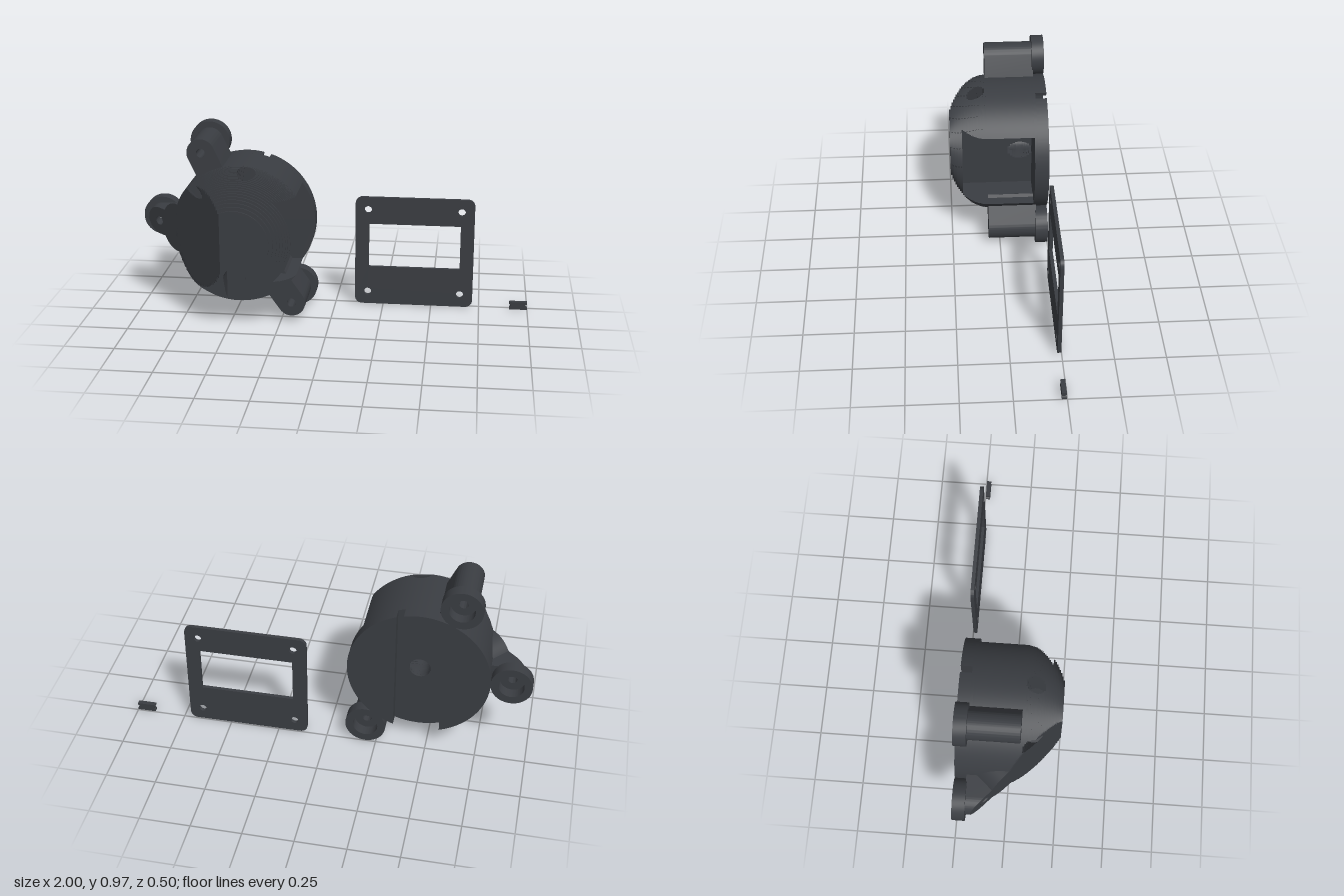
import * as THREE from 'three';
import { mergeGeometries, toCreasedNormals } from 'three/addons/utils/BufferGeometryUtils.js';

const CX = -0.45, CY = 0.464, R = 0.35, BACK = -0.247;
const material = new THREE.MeshStandardMaterial({ color: 0x3a3d42 });

// Slanted plane that trims the right-hand side of the housing
const planeX = (z) => -1 + (z + 0.19) / 0.915;
const planeZ = (x) => -0.19 + (x + 1) * 0.915;

function slab(shape, z0, z1, curveSegments = 32) {
  const g = new THREE.ExtrudeGeometry(shape, { depth: z1 - z0, bevelEnabled: false, curveSegments });
  return g.translate(0, 0, z0);
}

function addHole(shape, x, y, r) {
  shape.holes.push(new THREE.Path().absarc(x, y, r, 0, Math.PI * 2, true));
  return shape;
}

function mesh(name, geometry) {
  const m = new THREE.Mesh(toCreasedNormals(geometry, 0.5), material);
  m.name = name;
  return m;
}

// Circle outline with inward notches: { a: direction, w: half width, pts: inner points }
function notchedCircle(r, notches) {
  const pts = [];
  let angle = -2.8;
  const arcTo = (end) => {
    const n = Math.max(1, Math.ceil((end - angle) / 0.05));
    for (let i = 0; i < n; i++) {
      const t = angle + ((end - angle) * i) / n;
      pts.push(new THREE.Vector2(r * Math.cos(t), r * Math.sin(t)));
    }
    angle = end;
  };
  for (const { a, w, inner } of notches) {
    const half = Math.asin(w / r);
    arcTo(a - half);
    pts.push(new THREE.Vector2(r * Math.cos(angle), r * Math.sin(angle)));
    for (const [u, v] of inner) {
      pts.push(new THREE.Vector2(u * Math.cos(a) - v * Math.sin(a), u * Math.sin(a) + v * Math.cos(a)));
    }
    angle = a + half;
  }
  arcTo(-2.8 + Math.PI * 2);
  return new THREE.Shape(pts);
}

// Side recess, joined to the central bore by a neck of half width w
function recess(w) {
  const inner = [[0.09, -0.205]];
  if (w > 0) {
    const bore = 0.052, start = Math.asin(w / bore);
    inner.push([0.09, -w]);
    for (let i = 0; i <= 16; i++) {
      const t = -start - ((Math.PI * 2 - 2 * start) * i) / 16;
      inner.push([bore * Math.cos(t), bore * Math.sin(t)]);
    }
    inner.push([0.09, w]);
  }
  inner.push([0.09, 0.205]);
  return { a: 0, w: 0.205, inner };
}

// Outline of the housing at height z
function layerShape(z) {
  const k = Math.max(0, (z - 0.055) / 0.22);
  const r = R * Math.sqrt(1 - k * k);
  const notches = [];
  if (z > 0.145) {
    const arc = [];
    for (let i = 0; i <= 8; i++) {
      const t = -Math.PI / 2 - (Math.PI * i) / 8;
      arc.push([0.175 + 0.055 * Math.cos(t), 0.055 * Math.sin(t)]);
    }
    notches.push({ a: -Math.PI / 2, w: 0.055, inner: arc });
  }
  if (z < 0.19) {
    const q = 1 - ((z + 0.1125) / 0.0635) ** 2;
    notches.push(recess(q > 0 ? 0.051 * Math.sqrt(q) : 0));
  }
  const h = 0.045 ** 2 - (z - 0.115) ** 2;
  if (h > 0) {
    const w = Math.sqrt(h);
    for (const a of [1.43, 2.36]) notches.push({ a, w, inner: [[0.2, -w], [0.2, w]] });
  }
  return notchedCircle(r, notches);
}

function housing() {
  const parts = [];
  const stack = (z0, z1, n) => {
    const d = (z1 - z0) / n;
    for (let i = 0; i < n; i++) parts.push(slab(layerShape(z0 + (i + 0.5) * d), z0 + i * d, z0 + (i + 1) * d));
  };
  // Back halves on either side of the straight channel
  const half = Math.acos(0.115 / R);
  for (const mid of [0, Math.PI]) {
    parts.push(slab(new THREE.Shape().absarc(0, 0, R, mid - half, mid + half, false), BACK, -0.19, 48));
  }
  // Thin lip closing most of the channel's upper end
  const a0 = Math.acos(0.08 / R), a1 = Math.acos(-0.115 / R);
  const lip = new THREE.Shape().absarc(0, 0, R, a0, a1, false);
  lip.absarc(0, 0, R - 0.018, a1, a0, true);
  parts.push(slab(lip, BACK, -0.19, 8));
  // Channel floor with the bore, then the recessed drum and stepped dome
  parts.push(slab(addHole(notchedCircle(R, []), 0, 0, 0.052), -0.19, -0.175));
  stack(-0.175, -0.05, 10);
  stack(-0.05, 0.055, 8);
  stack(0.055, 0.19, 18);
  stack(0.19, 0.25, 8);

  const g = mergeGeometries(parts).translate(CX, CY, 0);
  const p = g.attributes.position;
  for (let i = 0; i < p.count; i++) p.setX(i, Math.max(p.getX(i), planeX(p.getZ(i))));
  return mesh('housing', g);
}

// Screw lug: flange with counterbore, and a post running into the housing
function lug(name, x, y, trimmed) {
  const group = new THREE.Group();
  group.name = name;
  const disc = addHole(new THREE.Shape().absarc(0, 0, 0.101, 0, Math.PI * 2, false), 0, 0, 0.062);
  const flange = slab(disc, BACK, -0.185).translate(x, y, 0);

  const post = new THREE.Shape().absarc(0, 0, 0.07, Math.PI / 2, Math.PI * 1.5, false);
  post.lineTo(0.16, -0.07);
  post.lineTo(0.16, 0.07);
  addHole(post, 0, 0, 0.022);
  const g = slab(post, -0.19, 0.06).rotateZ(Math.atan2(CY - y, CX - x)).translate(x, y, 0);
  for (const geo of trimmed ? [g, flange] : []) {
    const p = geo.attributes.position;
    for (let i = 0; i < p.count; i++) p.setZ(i, Math.min(p.getZ(i), planeZ(p.getX(i))));
  }
  group.add(mesh(name + 'Flange', flange), mesh(name + 'Post', g));
  return group;
}

// Round collar set square to the slanted face
function collar() {
  const ring = addHole(new THREE.Shape().absarc(0, 0, 0.125, 0, Math.PI * 2, false), 0, 0, 0.048);
  const g = slab(ring, -0.2, 0).rotateY(-Math.atan(0.915));
  return mesh('slantedCollar', g.translate(-0.785, CY, planeZ(-0.785)));
}

function coverPlate() {
  const x0 = 0.102, x1 = 0.715, y0 = 0.003, y1 = 0.585, r = 0.037;
  const s = new THREE.Shape();
  s.absarc(x1 - r, y0 + r, r, -Math.PI / 2, 0, false);
  s.absarc(x1 - r, y1 - r, r, 0, Math.PI / 2, false);
  s.absarc(x0 + r, y1 - r, r, Math.PI / 2, Math.PI, false);
  s.absarc(x0 + r, y0 + r, r, Math.PI, Math.PI * 1.5, false);
  const corners = [[0.173, 0.208], [0.173, 0.442], [0.645, 0.442], [0.645, 0.208]];
  s.holes.push(new THREE.Path(corners.map(([x, y]) => new THREE.Vector2(x, y))));
  for (const x of [0.168, 0.649]) for (const y of [0.07, 0.518]) addHole(s, x, y, 0.019);
  return mesh('coverPlate', slab(s, BACK, -0.229, 12));
}

// Small key with notched ends
function key() {
  const pts = [[0.908, 0.002], [1, 0.002], [1, 0.012], [0.992, 0.016], [0.992, 0.028], [1, 0.032],
    [1, 0.042], [0.908, 0.042], [0.908, 0.032], [0.914, 0.028], [0.914, 0.016], [0.908, 0.012]];
  return mesh('key', slab(new THREE.Shape(pts.map(([x, y]) => new THREE.Vector2(x, y))), BACK, -0.224));
}

export function createModel() {
  const model = new THREE.Group();
  model.name = 'housingKit';
  model.add(
    housing(),
    collar(),
    lug('upperLug', -0.64, 0.872, false),
    lug('sideLug', -0.899, CY, true),
    lug('lowerLug', -0.195, 0.102, false),
    coverPlate(),
    key(),
  );
  return model;
}
